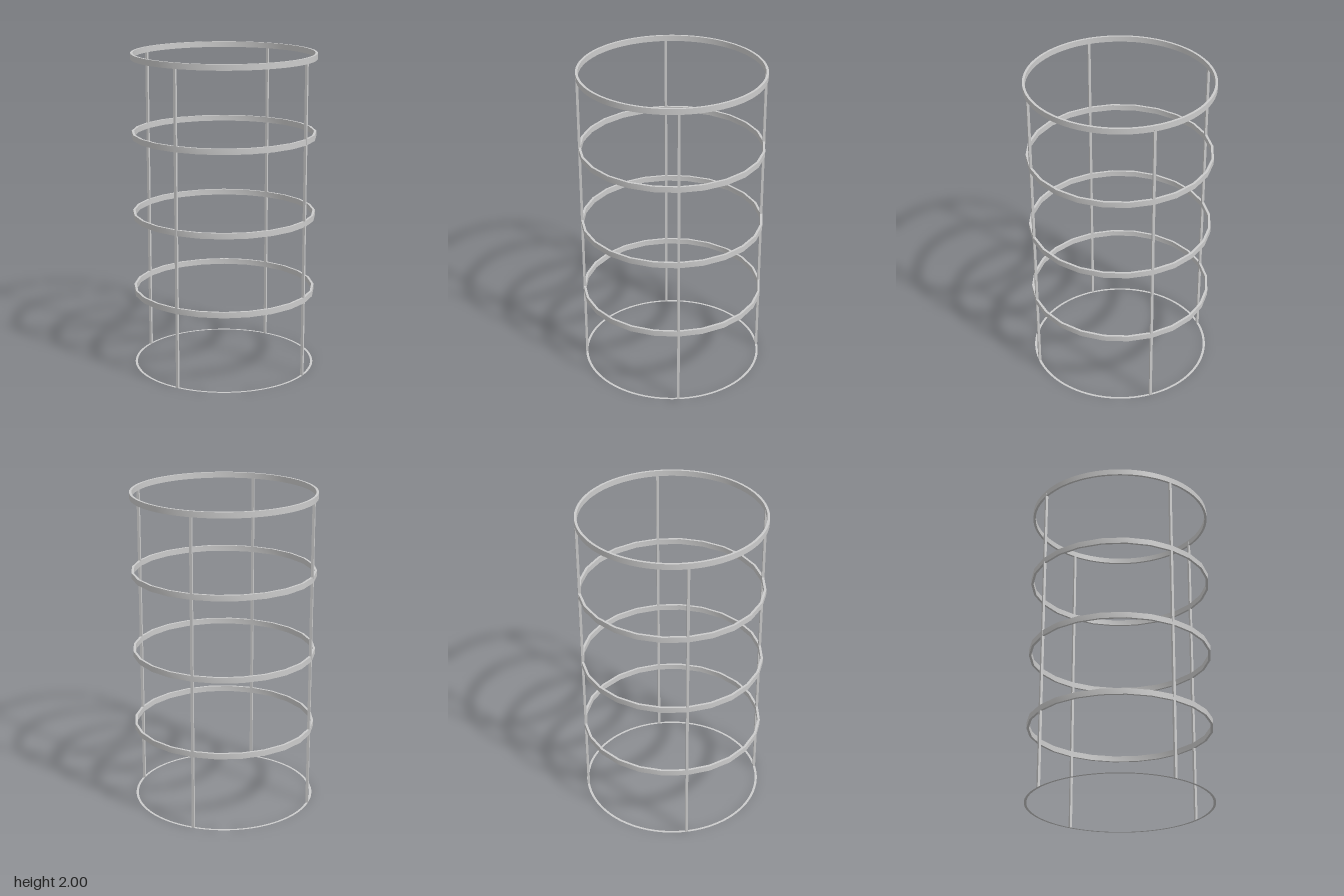
import * as THREE from 'three';
import { toCreasedNormals } from 'three/addons/utils/BufferGeometryUtils.js';

const OUTER = 0.575, INNER = 0.56, BAND = 0.036, HEIGHT = 2;

export function createModel() {
  const group = new THREE.Group();
  const material = new THREE.MeshStandardMaterial({ color: 0xcccccc });
  const thin = new THREE.MeshStandardMaterial({ color: 0xcccccc, side: THREE.DoubleSide });

  const add = (name, geometry, mat = material) => {
    const mesh = new THREE.Mesh(geometry, mat);
    mesh.name = name;
    group.add(mesh);
    return mesh;
  };

  // Rectangular-section hoop whose top edge sits at the given height
  const hoop = (name, top, segments) => {
    const section = [
      [OUTER, top - BAND], [OUTER, top], [INNER, top], [INNER, top - BAND], [OUTER, top - BAND],
    ].map(([r, y]) => new THREE.Vector2(r, y));
    add(name, toCreasedNormals(new THREE.LatheGeometry(section, segments), 0.6));
  };

  // Smooth top hoop and three coarser hoops below it
  hoop('topHoop', HEIGHT, 96);
  [1.51, 1.003, 0.513].forEach((y, i) => hoop(`middleHoop${i + 1}`, y, 24));

  // Flat ring on the ground
  add('baseRing', new THREE.RingGeometry(INNER, OUTER, 96), thin).rotation.x = -Math.PI / 2;

  // Four square uprights, at front, back and both sides
  const depth = OUTER - INNER + 0.001;
  for (let i = 0; i < 4; i++) {
    const angle = i * Math.PI / 2, r = OUTER - depth / 2;
    const post = add(`upright${i + 1}`, new THREE.BoxGeometry(0.016, HEIGHT, depth));
    post.position.set(Math.sin(angle) * r, HEIGHT / 2, Math.cos(angle) * r);
    post.rotation.y = angle;
  }
  return group;
}
